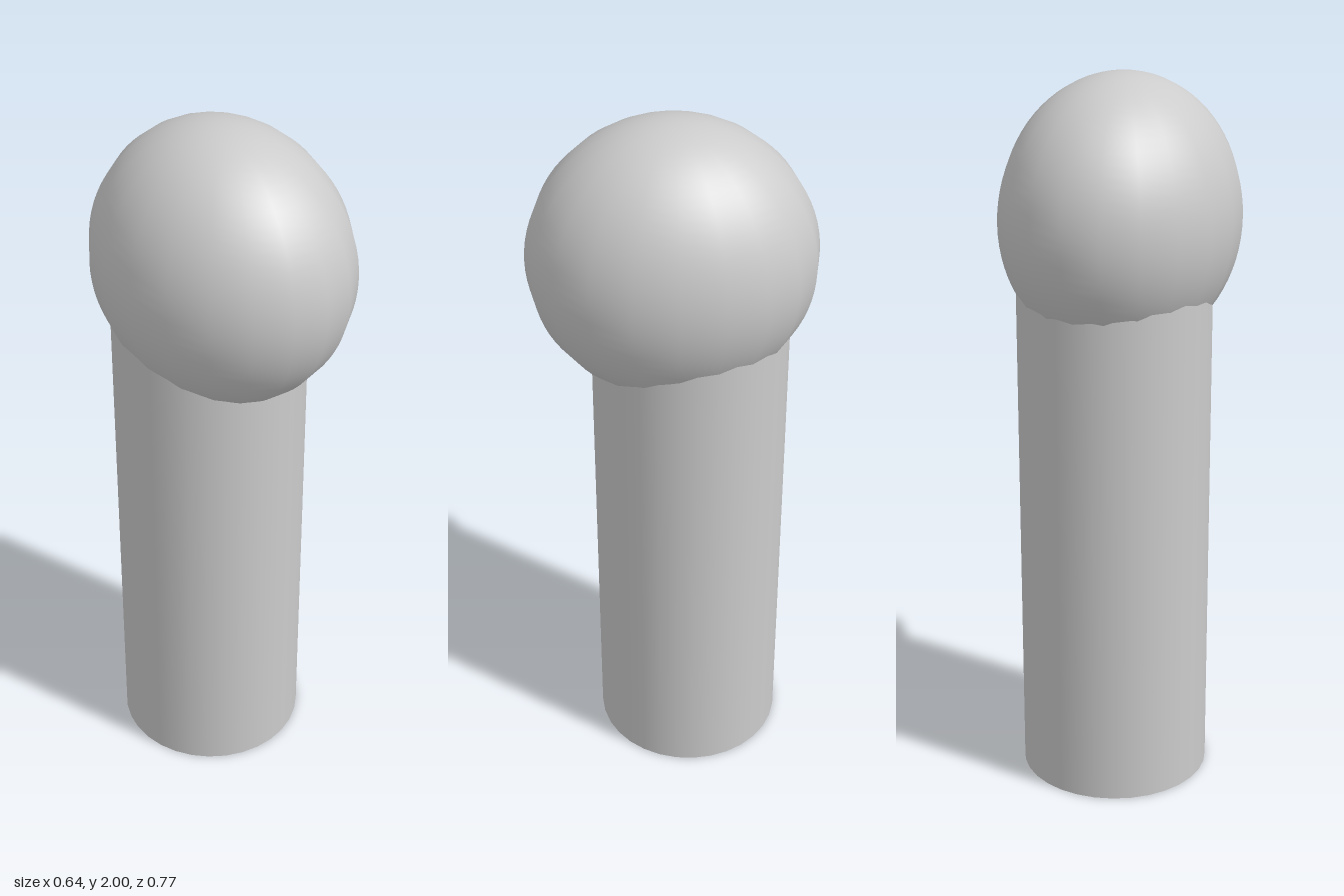
import * as THREE from 'three';

export function createModel() {
  const group = new THREE.Group();
  const material = new THREE.MeshStandardMaterial({ color: 0xcccccc });

  const addPart = (name, geometry, x, y, z) => {
    const mesh = new THREE.Mesh(geometry, material);
    mesh.name = name;
    mesh.position.set(x, y, z);
    group.add(mesh);
  };

  // Egg-shaped head, narrower from side to side
  const head = new THREE.SphereGeometry(1, 20, 40).scale(0.32, 0.385, 0.385);
  addPart('head', head, 0, 1.615, 0);

  // Upright column, set slightly back and running up into the head
  const height = 1.52;
  const neck = new THREE.CylinderGeometry(0.267, 0.267, height, 32);
  addPart('neck', neck, 0, height / 2, -0.048);

  return group;
}
